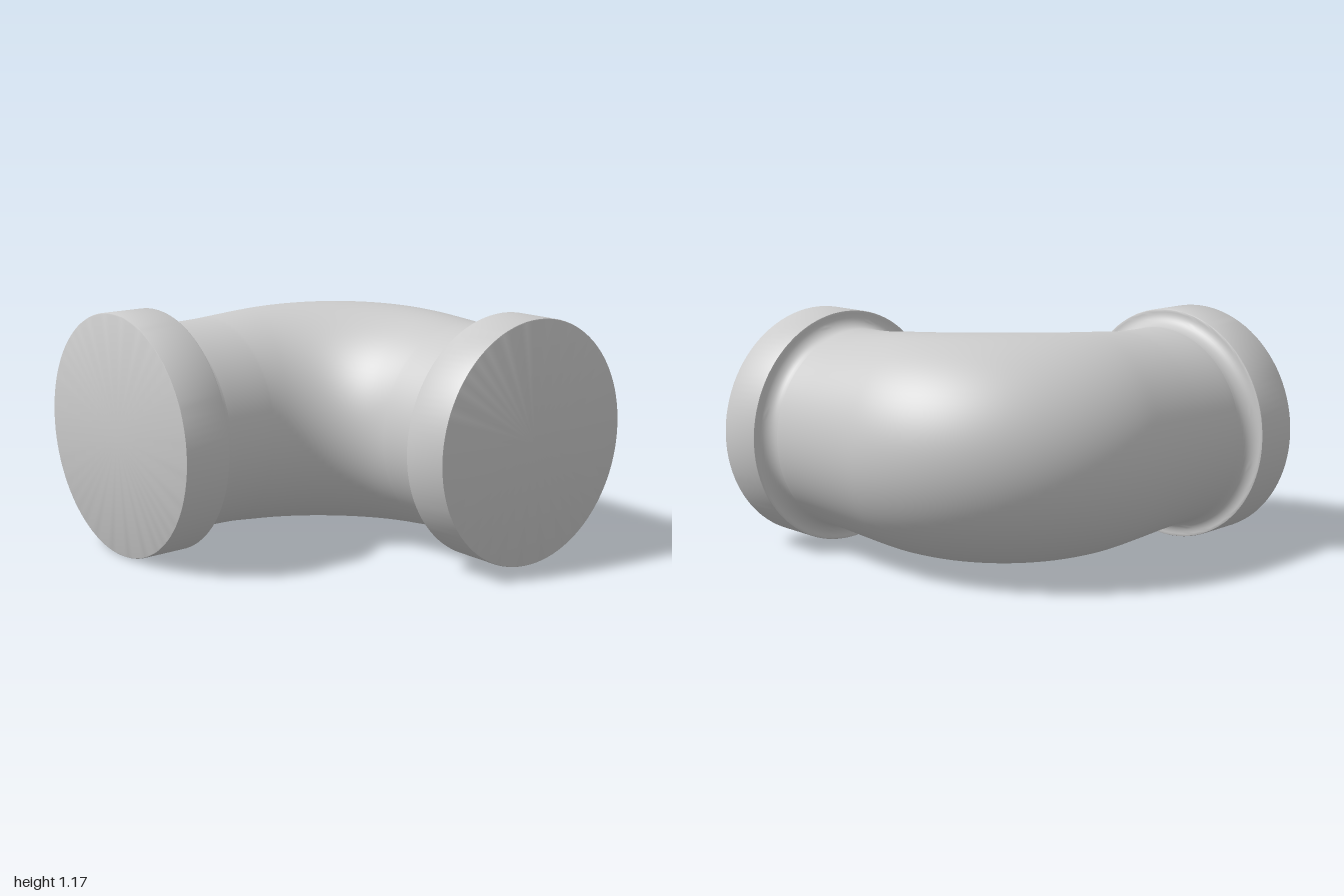
import * as THREE from 'three';
import { toCreasedNormals } from 'three/addons/utils/BufferGeometryUtils.js';

const AXIS_Y = 0.59;                        // height of the pipe's centre plane
const PIPE_R = 0.5, COLLAR_R = 0.585, COLLAR_LEN = 0.235, FILLET = 0.07;
const PIVOT = new THREE.Vector2(-0.445, 0.475); // x, z centre of the inner bend
const INNER = 0.36, OUTER = INNER + 2 * PIPE_R; // distances of the pipe walls from the pivot
const OUTER_ARC = 1.0;                      // radius of the outer bend

// Distance from the pivot to the outer wall: straight, tight arc, straight
function outerDistance(angle) {
  const s = Math.sin(angle), c = Math.cos(angle), k = OUTER - OUTER_ARC;
  const along = k * (s + c);
  const d = along + Math.sqrt(along * along - 2 * k * k + OUTER_ARC * OUTER_ARC);
  if (d * s < k) return OUTER / c;
  if (d * c < k) return OUTER / s;
  return d;
}

// Cross-sections fanned around the pivot, with a straight run at each end
function elbowGeometry() {
  const around = 96, bend = 64, run = 6;
  const stations = [];
  for (let i = 0; i < run; i++) {
    const f = i / run;
    stations.push({ angle: 0, dx: -0.25 * (1 - f), dz: 0, h: PIPE_R + 0.006 * f * f });
  }
  for (let i = 0; i <= bend; i++) {
    const angle = (i / bend) * Math.PI / 2;
    stations.push({ angle, dx: 0, dz: 0, h: PIPE_R + 0.006 + 0.038 * Math.sin(2 * angle) });
  }
  for (let i = 1; i <= run; i++) {
    const f = i / run;
    stations.push({ angle: Math.PI / 2, dx: 0, dz: 0.19 * f, h: PIPE_R + 0.006 * (1 - f) * (1 - f) });
  }

  const positions = [], indices = [];
  stations.forEach(({ angle, dx, dz, h }, i) => {
    const out = outerDistance(angle);
    const mid = (out + INNER) / 2, half = (out - INNER) / 2;
    for (let j = 0; j < around; j++) {
      const phi = (j / around) * Math.PI * 2;
      const d = mid + half * Math.cos(phi);
      positions.push(
        PIVOT.x + dx + d * Math.sin(angle),
        AXIS_Y + h * Math.sin(phi),
        PIVOT.y + dz - d * Math.cos(angle));
      if (i === stations.length - 1) continue;
      const a = i * around + j, b = i * around + (j + 1) % around;
      indices.push(a, b, a + around, b, b + around, a + around);
    }
  });
  const geometry = new THREE.BufferGeometry();
  geometry.setAttribute('position', new THREE.Float32BufferAttribute(positions, 3));
  geometry.setIndex(indices);
  geometry.computeVertexNormals();
  return geometry;
}

// Closed collar with softened rims and a concave fillet down to the pipe
function collarGeometry() {
  const e = 0.006;
  const points = [
    [0, 0], [COLLAR_R - e, 0], [COLLAR_R - e * 0.3, e * 0.3], [COLLAR_R, e],
    [COLLAR_R, COLLAR_LEN - e], [COLLAR_R - e * 0.3, COLLAR_LEN - e * 0.3], [COLLAR_R - e, COLLAR_LEN],
  ];
  for (let i = 0; i <= 10; i++) {
    const t = (i / 10) * Math.PI / 2;
    points.push([PIPE_R + FILLET * (1 - Math.sin(t)), COLLAR_LEN + FILLET * (1 - Math.cos(t))]);
  }
  const lathe = new THREE.LatheGeometry(points.map(([r, y]) => new THREE.Vector2(r, y)), 96);
  return toCreasedNormals(lathe, 0.6);
}

export function createModel() {
  const group = new THREE.Group();
  const material = new THREE.MeshStandardMaterial({ color: 0xcccccc });
  const add = (name, geometry) => {
    const mesh = new THREE.Mesh(geometry, material);
    mesh.name = name;
    group.add(mesh);
    return mesh;
  };

  add('elbowPipe', elbowGeometry());

  const collar = collarGeometry();
  const side = add('sideCollar', collar);
  side.rotation.z = -Math.PI / 2;
  side.position.set(-1, AXIS_Y, -0.385);

  const front = add('frontCollar', collar);
  front.rotation.x = -Math.PI / 2;
  front.position.set(0.415, AXIS_Y, 0.965);

  return group;
}
